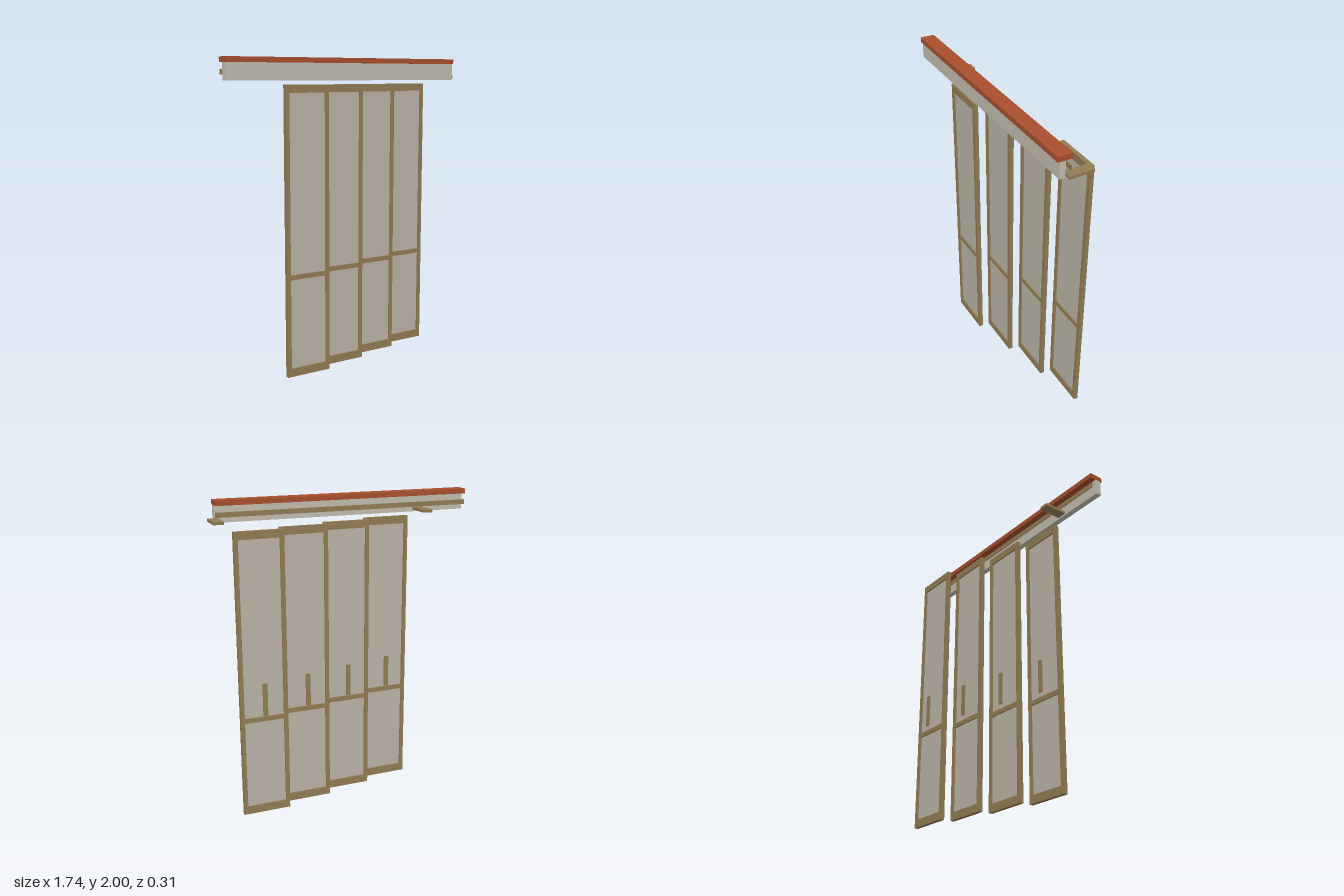
import * as THREE from 'three';

const material = (name, color) => {
  const m = new THREE.MeshStandardMaterial({ color });
  m.name = name;
  return m;
};

// Box given by its minimum and maximum corners
function block(name, mat, [x0, y0, z0], [x1, y1, z1]) {
  const mesh = new THREE.Mesh(new THREE.BoxGeometry(x1 - x0, y1 - y0, z1 - z0), mat);
  mesh.position.set((x0 + x1) / 2, (y0 + y1) / 2, (z0 + z1) / 2);
  mesh.name = name;
  return mesh;
}

// Traces a rectangle on a Shape or Path
function rect(path, x0, y0, x1, y1) {
  path.moveTo(x0, y0);
  path.lineTo(x1, y0);
  path.lineTo(x1, y1);
  path.lineTo(x0, y1);
  path.closePath();
  return path;
}

export function createModel() {
  const wood = material('wood', 0x927c54);
  const rust = material('rustRed', 0xa84f2d);
  const board = material('paleBoard', 0xc2bdb0);
  const glass = material('frostedGlass', 0xbab3a7);

  const model = new THREE.Group();
  model.name = 'slidingDoor';

  // Cover at the top: cap, fascia board and the runner strip behind it
  model.add(
    block('capRail', rust, [-0.87, 1.968, 0.061], [0.827, 2, 0.153]),
    block('fascia', board, [-0.87, 1.862, 0.103], [0.827, 1.97, 0.141]),
    block('runnerStrip', wood, [-0.87, 1.897, 0.066], [0.827, 1.928, 0.071])
  );

  // Flat brackets reaching back from the fascia
  for (const x of [-0.537, 0.837]) {
    model.add(block('bracket', wood, [x - 0.032, 1.873, -0.054], [x + 0.032, 1.891, 0.103]));
  }

  // Door leaf: frame with two openings, glass set in the middle, handle behind
  const w = 0.155, depth = 0.027, inner = 0.129;
  const openings = [[0.053, 0.63], [0.66, 1.788]];
  const outline = rect(new THREE.Shape(), -w, 0, w, 1.837);
  for (const [y0, y1] of openings) {
    outline.holes.push(rect(new THREE.Path(), -inner, y0, inner, y1));
  }
  const frameGeometry = new THREE.ExtrudeGeometry(outline, { depth, bevelEnabled: false });
  frameGeometry.translate(0, 0, -depth / 2);

  // Four leaves, each stepped sideways and back
  for (let i = 0; i < 4; i++) {
    const leaf = new THREE.Group();
    leaf.name = 'doorLeaf' + (i + 1);
    const frame = new THREE.Mesh(frameGeometry, wood);
    frame.name = 'leafFrame';
    leaf.add(frame);
    for (const [y0, y1] of openings) {
      leaf.add(block('glassPane', glass, [-inner, y0, -0.004], [inner, y1, 0.004]));
    }
    leaf.add(block('handle', wood, [-0.015, 0.677, -0.045], [0.015, 0.89, -0.035]));
    leaf.position.set(-0.315 + i * 0.31, 0, 0.117 - i * 0.075);
    model.add(leaf);
  }
  return model;
}
